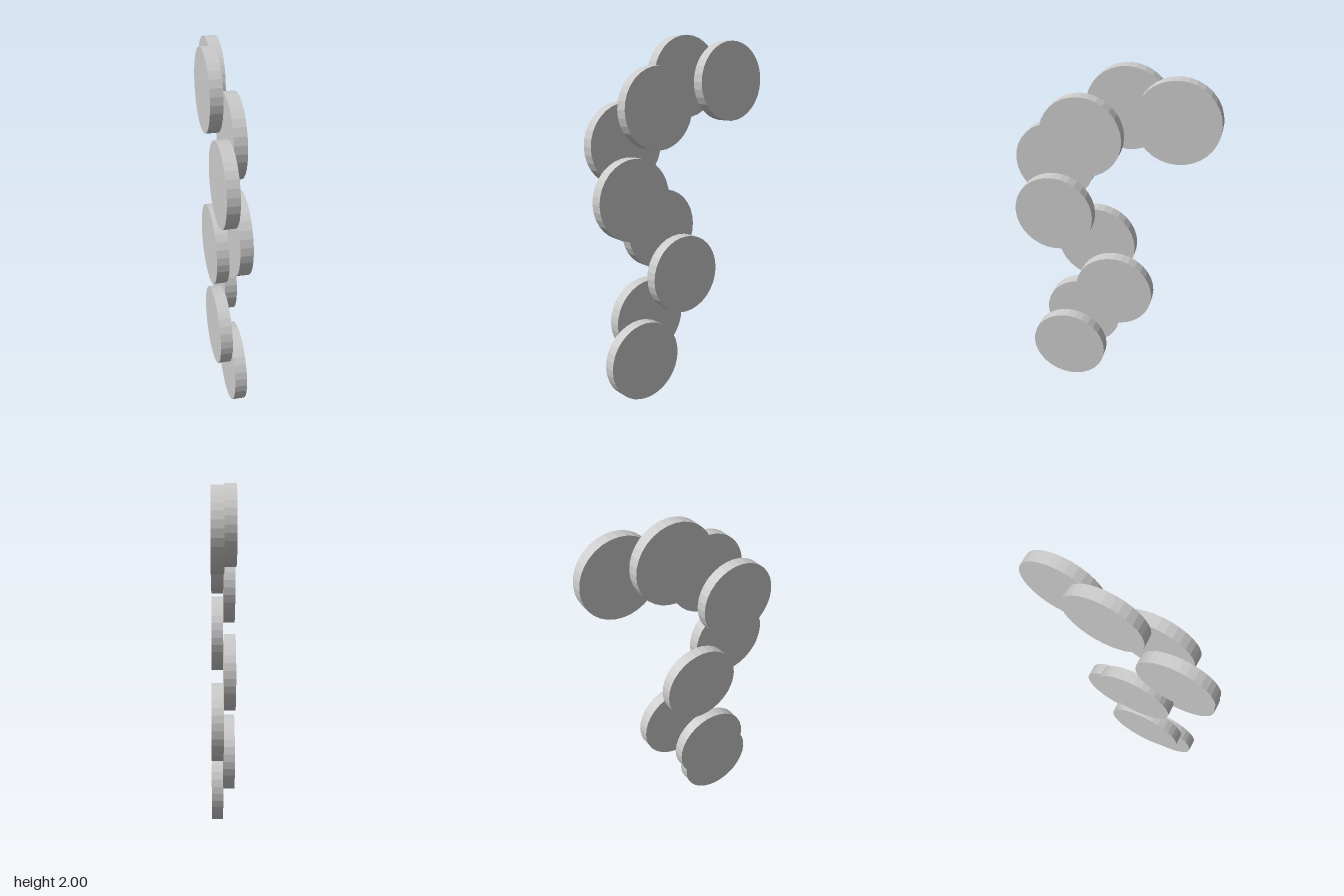
import * as THREE from 'three';

const RADIUS = 0.223;
const THICKNESS = 0.068;

// Disc centres as [x, y, z], from the bottom of the chain to its tip
const CENTRES = [
  [0.034, 0.223, 0.278],
  [-0.032, 0.443, 0.197],
  [0.034, 0.674, -0.006],
  [-0.036, 0.944, 0.11],
  [0.034, 1.144, 0.338],
  [-0.036, 1.433, 0.338],
  [0.034, 1.619, 0.175],
  [-0.036, 1.777, -0.066],
  [0.034, 1.748, -0.336],
];

export function createModel() {
  const model = new THREE.Group();
  model.name = 'discChain';
  const material = new THREE.MeshStandardMaterial({ color: 0xcccccc, flatShading: true });

  // One flat disc with its axis along x, shared by all links
  const geometry = new THREE.CylinderGeometry(RADIUS, RADIUS, THICKNESS, 32);
  geometry.rotateZ(Math.PI / 2);

  // Discs alternate between the left and right layers
  CENTRES.forEach(([x, y, z], i) => {
    const disc = new THREE.Mesh(geometry, material);
    disc.name = `${x > 0 ? 'left' : 'right'}Disc${i + 1}`;
    disc.position.set(x, y, z);
    model.add(disc);
  });
  return model;
}
